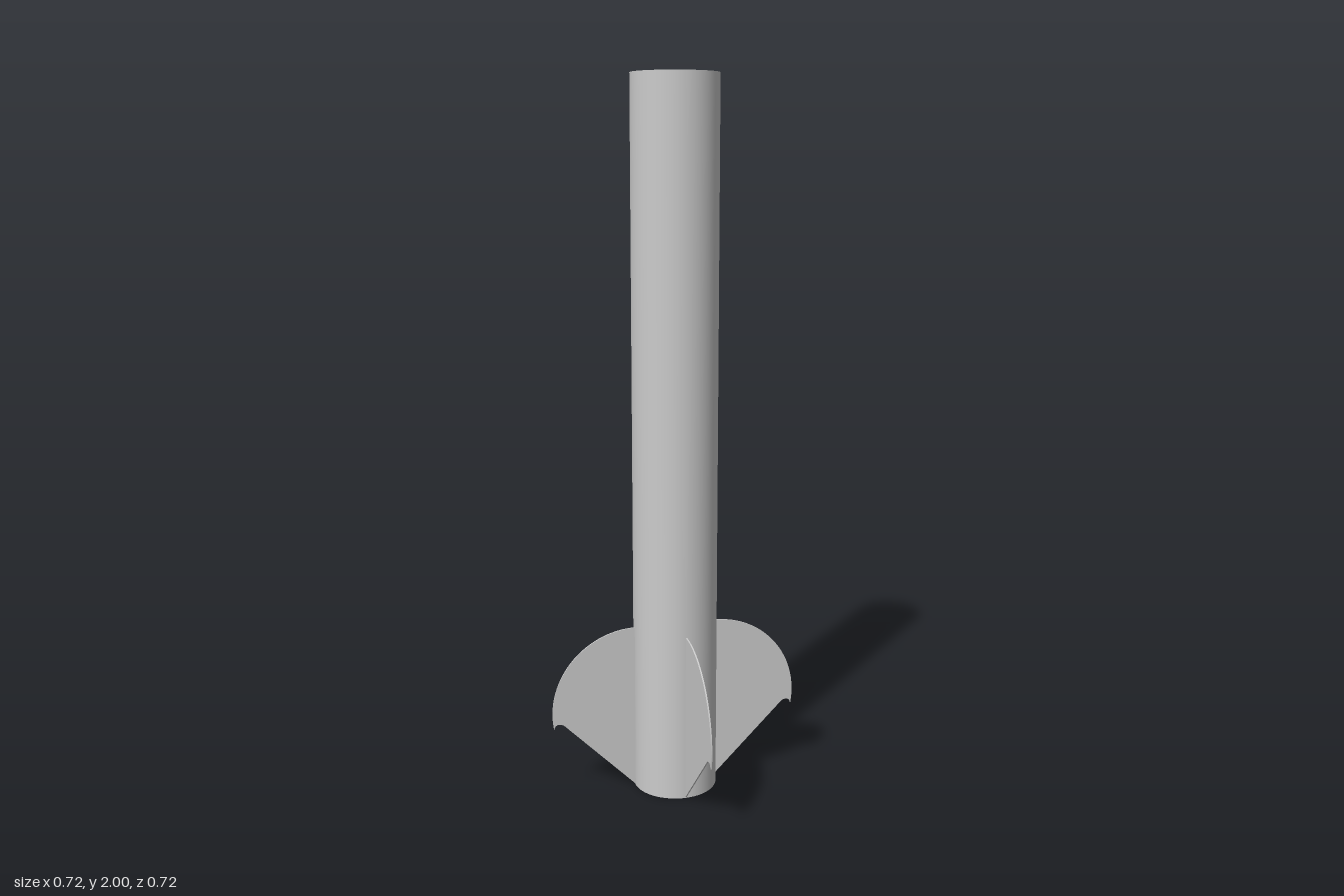
import * as THREE from 'three';
import { mergeGeometries } from 'three/addons/utils/BufferGeometryUtils.js';

const OUTER = 0.119, INNER = 0.116, HEIGHT = 2;
const FIN_RADIUS = 0.241, FIN_CENTRE_Y = 0.242, FIN_THICKNESS = 0.004;

// Hollow tube: one lathe per wall of the section, so the rims stay sharp
function tubeGeometry() {
  const section = [[OUTER, 0], [OUTER, HEIGHT], [INNER, HEIGHT], [INNER, 0]]
    .map(([x, y]) => new THREE.Vector2(x, y));
  return mergeGeometries(section.map((p, i) =>
    new THREE.LatheGeometry([p, section[(i + 1) % 4]], 64)));
}

// Fin: rounded outer edge, small scooped tip, straight sloping lower edge
function finGeometry() {
  const root = OUTER - 0.001;
  const shape = new THREE.Shape();
  shape.moveTo(root, 0.002);
  shape.lineTo(0.325, 0.208);
  shape.bezierCurveTo(0.337, 0.219, 0.354, 0.216, 0.355, 0.2);
  shape.absarc(OUTER - 0.001, FIN_CENTRE_Y, FIN_RADIUS, -0.17, Math.PI / 2, false);
  shape.closePath();
  const geometry = new THREE.ExtrudeGeometry(shape, {
    depth: FIN_THICKNESS, bevelEnabled: false, curveSegments: 24,
  });
  return geometry.translate(0, 0, -FIN_THICKNESS / 2);
}

export function createModel() {
  const model = new THREE.Group();
  model.name = 'finnedTube';
  const material = new THREE.MeshStandardMaterial({ color: 0xcccccc });

  const tube = new THREE.Mesh(tubeGeometry(), material);
  tube.name = 'bodyTube';
  model.add(tube);

  // Four fins at right angles around the foot
  const finShape = finGeometry();
  ['finLeft', 'finBack', 'finRight', 'finFront'].forEach((name, i) => {
    const fin = new THREE.Mesh(finShape, material);
    fin.name = name;
    fin.rotation.y = i * Math.PI / 2;
    model.add(fin);
  });
  return model;
}
